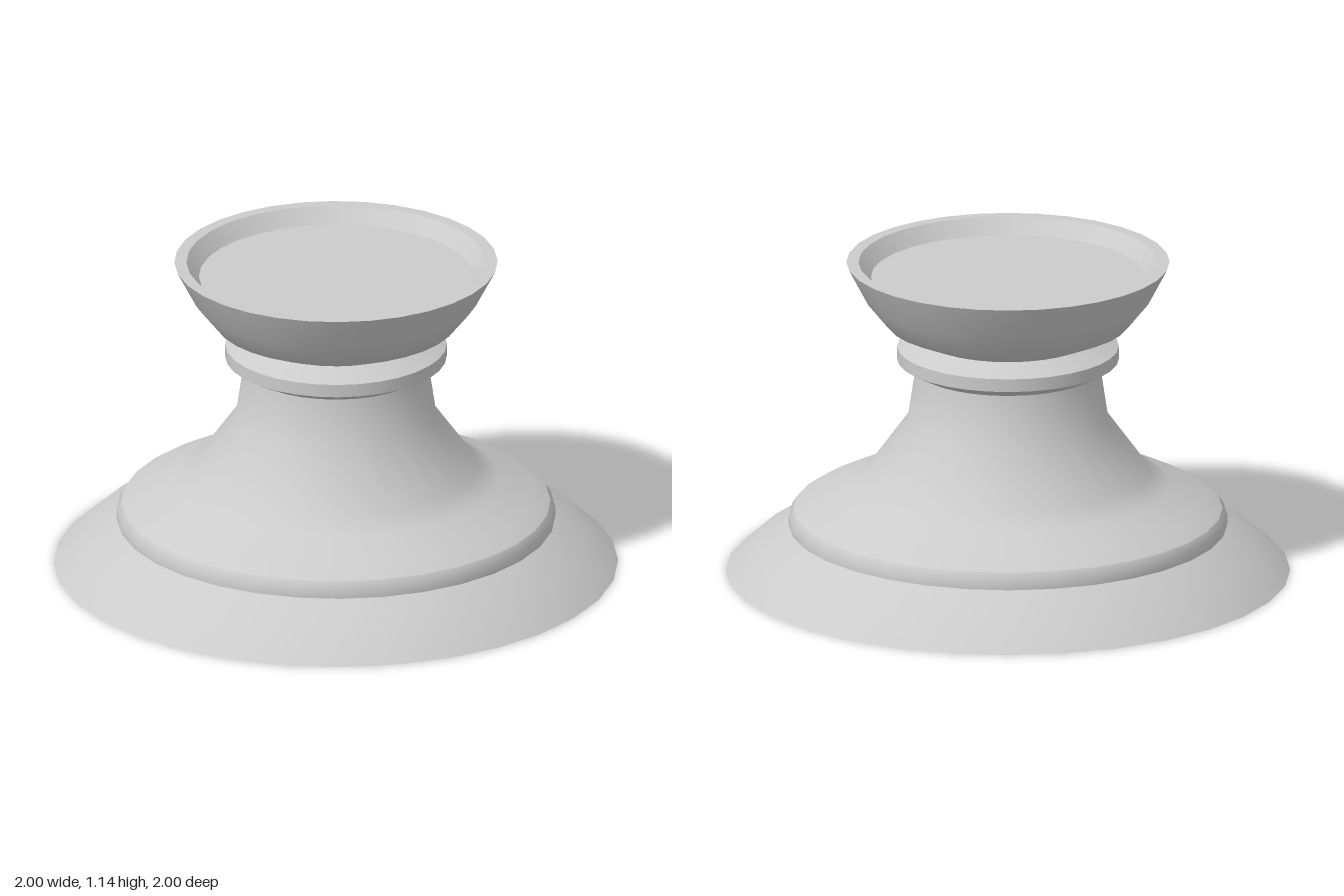
import * as THREE from 'three';

const material = new THREE.MeshStandardMaterial({ color: 0xcccccc });

// One turned part; each run of [radius, height] points is smooth, with a sharp edge between runs
function turned(name, runs) {
  const part = new THREE.Group();
  part.name = name;
  runs.forEach((run, i) => {
    const points = run.map(([r, y]) => new THREE.Vector2(r, y));
    const mesh = new THREE.Mesh(new THREE.LatheGeometry(points, 32), material);
    mesh.name = `${name}Surface${i + 1}`;
    part.add(mesh);
  });
  return part;
}

export function createModel() {
  const pedestal = new THREE.Group();
  pedestal.name = 'pedestal';

  // Wide flared foot with a flat underside
  pedestal.add(turned('foot', [
    [[0, 0], [1, 0]],
    [[1, 0], [0.89, 0.1], [0.77, 0.168]],
  ]));

  // Rounded band above the foot
  pedestal.add(turned('footBand', [
    [[0.77, 0.168], [0.777, 0.17]],
    [[0.777, 0.17], [0.777, 0.205], [0.76, 0.23]],
  ]));

  // Bell-shaped body narrowing to the neck
  pedestal.add(turned('body', [
    [[0.76, 0.23], [0.7, 0.265], [0.575, 0.322], [0.5, 0.37], [0.355, 0.57], [0.328, 0.75]],
  ]));

  // Bevelled collar around the neck
  pedestal.add(turned('collar', [
    [[0.328, 0.75], [0.393, 0.785]],
    [[0.393, 0.785], [0.393, 0.832]],
    [[0.393, 0.832], [0.31, 0.87]],
  ]));

  // Flared cup with a flat rim and a shallow recess
  pedestal.add(turned('cup', [
    [[0.31, 0.87], [0.43, 0.922], [0.505, 1.015], [0.573, 1.145]],
    [[0.573, 1.145], [0.53, 1.145]],
    [[0.53, 1.145], [0.486, 1.09]],
    [[0.486, 1.09], [0, 1.09]],
  ]));

  return pedestal;
}
